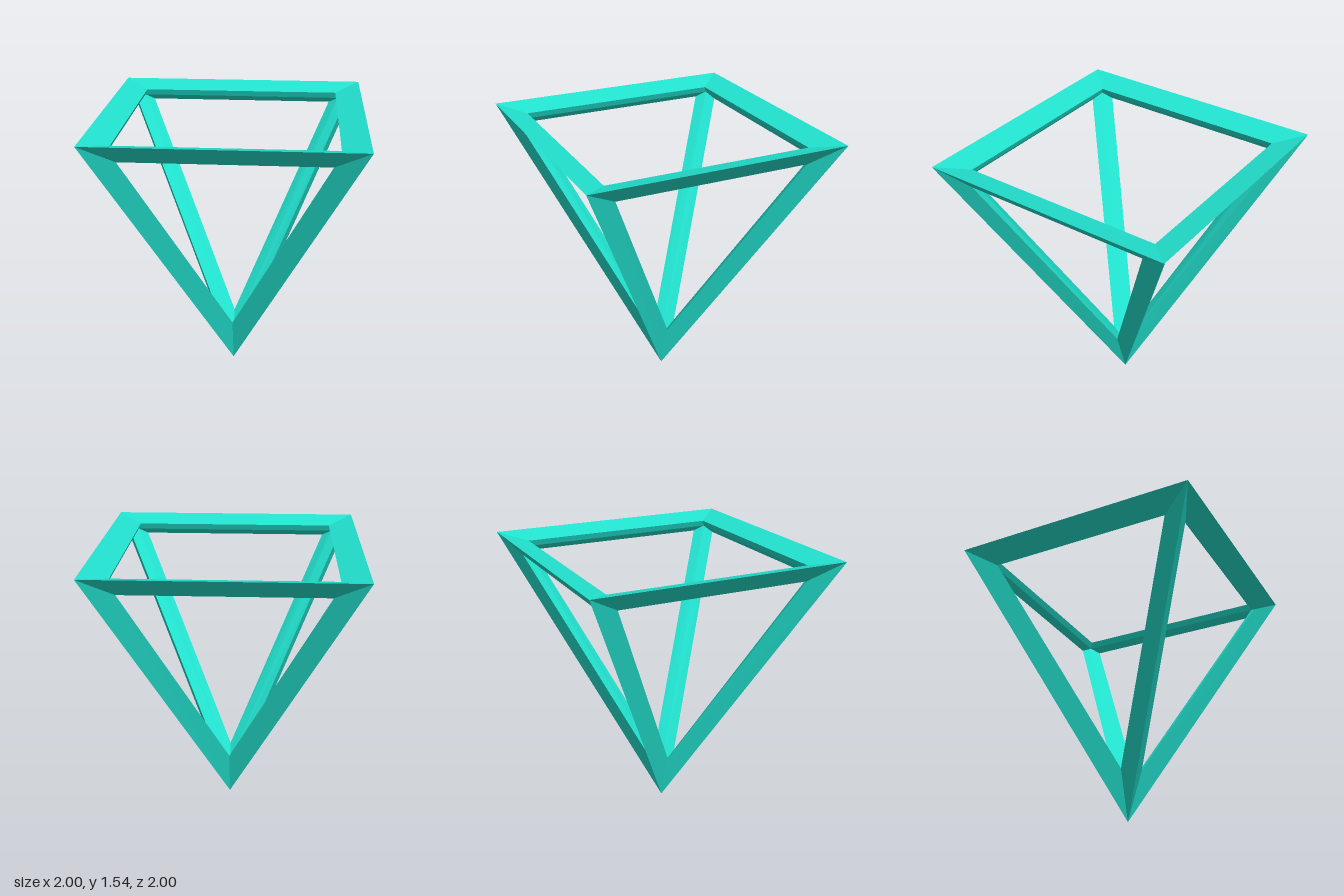
import * as THREE from 'three';

const material = new THREE.MeshStandardMaterial({ color: 0x22e3d0, flatShading: true });

// Straight bar between two four-cornered end sections
function bar(name, start, end) {
  const pos = [];
  for (let i = 0; i < 4; i++) {
    const j = (i + 1) % 4;
    pos.push(...start[i], ...start[j], ...end[j], ...start[i], ...end[j], ...end[i]);
  }
  const geo = new THREE.BufferGeometry();
  geo.setAttribute('position', new THREE.Float32BufferAttribute(pos, 3));
  geo.computeVertexNormals();
  const mesh = new THREE.Mesh(geo, material);
  mesh.name = name;
  return mesh;
}

export function createModel() {
  const group = new THREE.Group();
  group.name = 'invertedPyramidFrame';

  // Points around one upper corner
  const tip = [1, 1.54, 0];
  const topInset = [0.8, 1.505, 0];
  const inner = [0.823, 1.47, 0];
  const sideInset = [0.81, 1.437, 0.06];

  const swapXZ = ([x, y, z]) => [z, y, x];
  const mirrorZ = ([x, y, z]) => [x, y, -z];

  // Mitred end sections
  const rimEnd = [tip, topInset, inner, sideInset];
  const strutTop = [tip, sideInset, inner, mirrorZ(sideInset)];
  const strutFoot = [[0, 0, 0], [0.06, 0.28, 0.06], [0, 0.19, 0], [0.06, 0.28, -0.06]];

  // Four rim bars and four struts running down to the apex
  for (let k = 0; k < 4; k++) {
    const side = new THREE.Group();
    side.name = `side${k + 1}`;
    side.add(bar('rimBar', rimEnd, rimEnd.map(swapXZ)), bar('strut', strutTop, strutFoot));
    side.rotation.y = (k * Math.PI) / 2;
    group.add(side);
  }
  return group;
}
